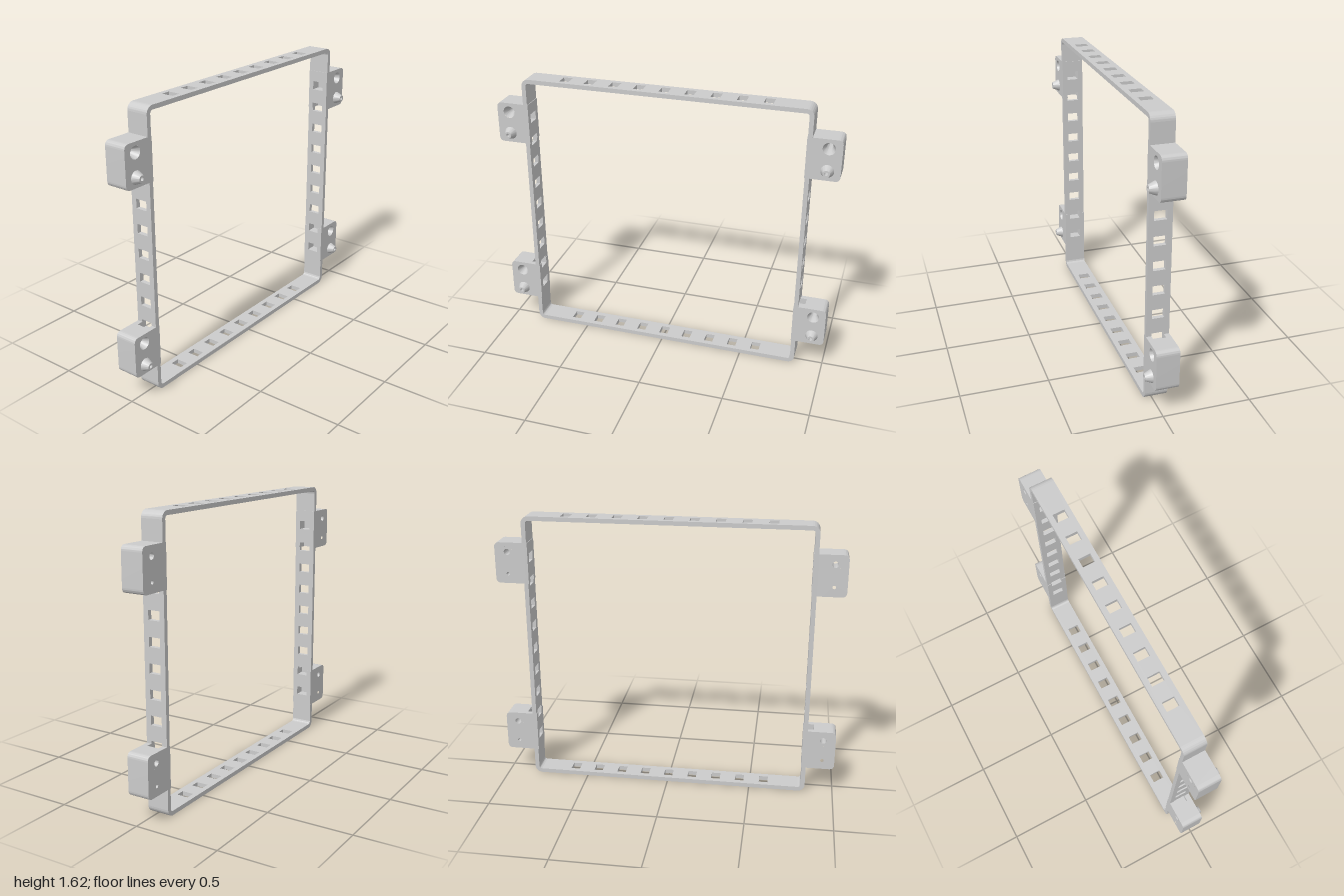
import * as THREE from 'three';
import { toCreasedNormals } from 'three/addons/utils/BufferGeometryUtils.js';

const H = 1.625, W = 0.835, T = 0.025, R = 0.042;  // frame height, half width, wall, corner radius
const Z0 = -0.085, Z1 = 0.045, D = Z1 - Z0, ZC = (Z0 + Z1) / 2;
const WIN_L = 0.053, WIN_D = 0.07;                 // window size along and across the wall

const material = new THREE.MeshStandardMaterial({ color: 0xcccccc });

function mesh(name, geometry) {
  const m = new THREE.Mesh(toCreasedNormals(geometry, 0.5), material);
  m.name = name;
  return m;
}

function extrude(shape, depth) {
  return new THREE.ExtrudeGeometry(shape, { depth, bevelEnabled: false, curveSegments: 24 });
}

const poly = pts => new THREE.Shape(pts.map(p => new THREE.Vector2(...p)));

function rectPoints(cx, cy, w, h) {
  return [[cx - w / 2, cy - h / 2], [cx + w / 2, cy - h / 2], [cx + w / 2, cy + h / 2], [cx - w / 2, cy + h / 2]];
}

function circle(x, y, r) {
  return new THREE.Path().absarc(x, y, r, 0, Math.PI * 2, true);
}

// Straight wall centred on the origin: thin in x, long in y, with nine windows
function windowedWall(length, pitch) {
  const shape = poly(rectPoints(0, 0, D, length));
  for (let i = -4; i <= 4; i++) shape.holes.push(poly(rectPoints(0, i * pitch, WIN_D, WIN_L)));
  return extrude(shape, T).translate(0, 0, -T / 2).rotateY(Math.PI / 2);
}

function frame() {
  const g = new THREE.Group();
  g.name = 'frame';
  for (const s of [-1, 1]) {
    const side = mesh('sideWall', windowedWall(H - 2 * R, 0.141));
    side.position.set(s * (W - T / 2), H / 2, ZC);
    const bar = mesh('crossWall', windowedWall(2 * (W - R), 0.1463).rotateZ(Math.PI / 2));
    bar.position.set(0, H / 2 + s * (H - T) / 2, ZC);
    g.add(side, bar);
  }
  // Rounded corners
  const quarter = new THREE.Shape();
  quarter.absarc(0, 0, R, 0, Math.PI / 2, false);
  quarter.absarc(0, 0, R - T, Math.PI / 2, 0, true);
  for (let k = 0; k < 4; k++) {
    const sx = k === 0 || k === 3 ? 1 : -1, sy = k < 2 ? 1 : -1;
    const corner = mesh('frameCorner', extrude(quarter, D).rotateZ(k * Math.PI / 2));
    corner.position.set(sx * (W - R), H / 2 + sy * (H / 2 - R), Z0);
    g.add(corner);
  }
  return g;
}

// Mounting bracket on side s; y0 is its bottom, notchUp tells which end has the cut window
function bracket(s, y0, notchUp) {
  const g = new THREE.Group();
  g.name = 'bracket';
  const h = 0.24, xIn = 0.807, xMid = 0.87, xOut = 1, r = 0.03;
  const xc = s * 0.927, yBore = y0 + 0.185, yStud = y0 + 0.056;

  // Outer block with rounded outer corners
  const block = new THREE.Shape();
  block.moveTo(s * xMid, y0);
  block.lineTo(s * (xOut - r), y0);
  block.quadraticCurveTo(s * xOut, y0, s * xOut, y0 + r);
  block.lineTo(s * xOut, y0 + h - r);
  block.quadraticCurveTo(s * xOut, y0 + h, s * (xOut - r), y0 + h);
  block.lineTo(s * xMid, y0 + h);
  block.closePath();
  block.holes.push(circle(xc, yBore, 0.035), circle(xc, yStud, 0.01));
  g.add(mesh('bracketBlock', extrude(block, D).translate(0, 0, Z0)));

  // Inner pad with a pocket and an end notch that continue the wall windows
  const end = notchUp ? y0 + h : y0, far = notchUp ? y0 : y0 + h;
  const dir = notchUp ? -1 : 1;
  const winY = H / 2 + dir * 4 * 0.141, notchY = H / 2 + dir * 3 * 0.141;
  const notch = notchY + dir * WIN_L / 2;
  const a = D / 2, b = WIN_D / 2;
  const pad = poly([[-a, far], [a, far], [a, end], [b, end], [b, notch], [-b, notch], [-b, end], [-a, end]]);
  const open = dir === -1 ? winY : H / 2 + 4 * 0.141;
  pad.holes.push(poly(rectPoints(0, open, WIN_D, WIN_L)));
  const t = xMid - xIn;
  g.add(mesh('bracketPad', extrude(pad, t).translate(0, 0, -t / 2).rotateY(Math.PI / 2)
    .translate(s * (xIn + t / 2), 0, ZC)));

  // Tapered socket and hollow conical stud
  const lathe = pts => new THREE.LatheGeometry(pts.map(p => new THREE.Vector2(...p)), 32).rotateX(Math.PI / 2);
  g.add(mesh('socket', lathe([[0.035, Z1], [0.018, 0.005], [0.018, Z0], [0.035, Z0]]).translate(xc, yBore, 0)));
  g.add(mesh('stud', lathe([[0.037, Z1], [0.02, 0.085], [0.01, 0.085], [0.01, Z1]]).translate(xc, yStud, 0)));
  return g;
}

export function createModel() {
  const model = new THREE.Group();
  model.name = 'mountingFrame';
  model.add(frame());
  for (const s of [-1, 1]) {
    model.add(bracket(s, 0.16, true), bracket(s, 1.23, false));
  }
  return model;
}
